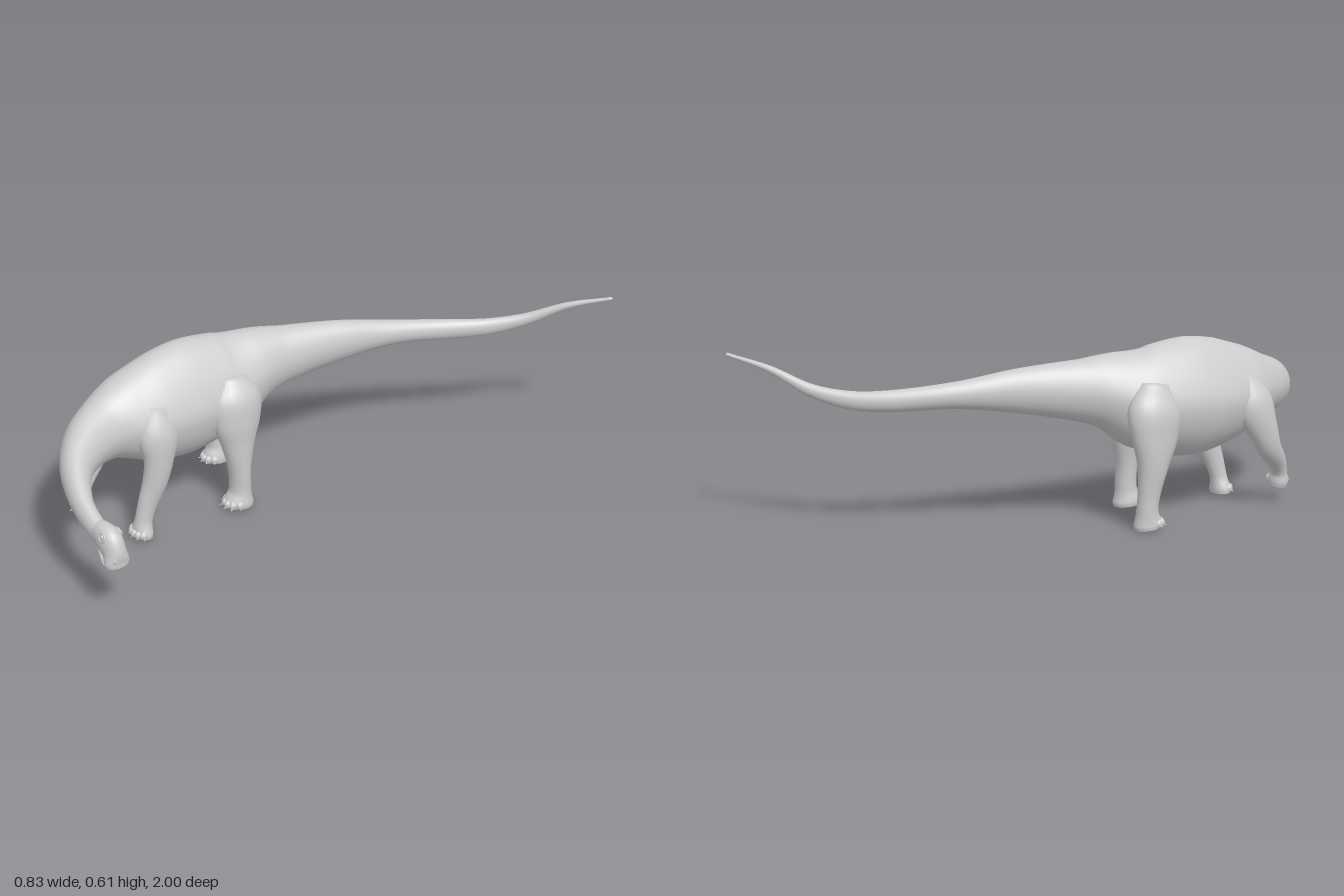
import * as THREE from 'three';

const material = new THREE.MeshStandardMaterial({ color: 0xcccccc });

// Smooth skin through stations [x, y, z, ra, rb]; ra runs along ref, rb across it.
// narrow slims the side that faces ref, giving a ridged back.
function loft(name, stations, ref, rings, sides, narrow = () => 0) {
  const path = new THREE.CatmullRomCurve3(stations.map(s => new THREE.Vector3(s[0], s[1], s[2])));
  const n = stations.length - 1;
  const radius = (t, k) => {
    const f = t * n, i = Math.min(n - 1, Math.floor(f)), u = f - i;
    const at = j => stations[Math.max(0, Math.min(n, j))][k];
    const a = at(i - 1), b = at(i), c = at(i + 1), d = at(i + 2);
    return Math.max(0.002, b + 0.5 * u * (c - a + u * (2 * a - 5 * b + 4 * c - d + u * (3 * (b - c) + d - a))));
  };
  const pos = [], index = [];
  for (let i = 0; i <= rings; i++) {
    const t = i / rings, c = path.getPoint(t), T = path.getTangent(t);
    const A = ref.clone().addScaledVector(T, -T.dot(ref)).normalize();
    const B = T.clone().cross(A);
    const ra = radius(t, 3), rb = radius(t, 4);
    for (let j = 0; j < sides; j++) {
      const a = j / sides * Math.PI * 2, up = Math.cos(a);
      const slim = 1 - narrow(t) * Math.max(0, up);
      const p = c.clone().addScaledVector(A, up * ra).addScaledVector(B, Math.sin(a) * rb * slim);
      pos.push(p.x, p.y, p.z);
      if (i < rings) {
        const k = i * sides + j, l = i * sides + (j + 1) % sides;
        index.push(k, l, k + sides, l, l + sides, k + sides);
      }
    }
  }
  // End caps
  const last = rings * sides, mid = pos.length / 3;
  for (const t of [0, 1]) pos.push(...path.getPoint(t).toArray());
  for (let j = 0; j < sides; j++) {
    const k = (j + 1) % sides;
    index.push(mid, k, j, mid + 1, last + j, last + k);
  }
  const geo = new THREE.BufferGeometry();
  geo.setAttribute('position', new THREE.Float32BufferAttribute(pos, 3));
  geo.setIndex(index);
  geo.computeVertexNormals();
  const mesh = new THREE.Mesh(geo, material);
  mesh.name = name;
  return mesh;
}

function ball(name, p, s) {
  const mesh = new THREE.Mesh(new THREE.SphereGeometry(1, 16, 12), material);
  mesh.name = name;
  mesh.position.set(...p);
  mesh.scale.set(...s);
  return mesh;
}

// Leg column with toes and claws fanned around the foot
function leg(name, stations, yaw, tilt = 0) {
  const group = new THREE.Group();
  group.name = name;
  group.add(loft('limb', stations, new THREE.Vector3(1, 0, 0), 40, 24));
  const [x, y, z, rx, rz] = stations[stations.length - 1];
  const foot = new THREE.Group();
  foot.name = 'toes';
  foot.position.set(x, y, z);
  foot.rotation.set(tilt, yaw, 0, 'YXZ');
  for (const a of [-1.05, -0.5, 0, 0.5, 1.05]) {
    const px = Math.sin(a) * rx * 0.85, pz = Math.cos(a) * rz * 0.85;
    foot.add(ball('toe', [px, 0.016, pz], [0.013, 0.016, 0.016]));
    const claw = new THREE.Mesh(new THREE.ConeGeometry(0.008, 0.026, 8), material);
    claw.name = 'claw';
    claw.position.set(px * 1.25, 0.010, pz * 1.25);
    claw.rotation.set(Math.PI / 2 + 0.2, a, 0, 'YXZ');
    foot.add(claw);
  }
  group.add(foot);
  return group;
}

export function createModel() {
  const model = new THREE.Group();
  model.name = 'sauropod';
  const up = new THREE.Vector3(0, 1, 0);

  // Tail, trunk and neck in one sweep
  const ridge = t => 0.3 * Math.exp(-(((t - 0.58) / 0.17) ** 2));
  model.add(loft('body', [
    [0.41, 0.583, -1, 0.006, 0.006],
    [0.295, 0.542, -0.9, 0.012, 0.012],
    [0.19, 0.478, -0.8, 0.022, 0.018],
    [0.11, 0.449, -0.7, 0.031, 0.022],
    [0.045, 0.446, -0.6, 0.036, 0.027],
    [-0.05, 0.46, -0.4, 0.045, 0.037],
    [-0.117, 0.465, -0.2, 0.075, 0.053],
    [-0.175, 0.455, 0, 0.105, 0.08],
    [-0.2, 0.445, 0.1, 0.132, 0.11],
    [-0.222, 0.415, 0.22, 0.177, 0.145],
    [-0.232, 0.402, 0.38, 0.205, 0.16],
    [-0.232, 0.402, 0.51, 0.19, 0.155],
    [-0.23, 0.405, 0.62, 0.152, 0.135],
    [-0.215, 0.4, 0.71, 0.115, 0.1],
    [-0.175, 0.388, 0.8, 0.092, 0.078],
    [-0.1, 0.363, 0.885, 0.069, 0.054],
    [0.01, 0.322, 0.94, 0.048, 0.037],
    [0.09, 0.29, 0.953, 0.042, 0.031],
    [0.15, 0.268, 0.952, 0.04, 0.03],
  ], up, 160, 40, ridge));

  // Head: skull, jaw, eyes and nostrils
  const head = new THREE.Group();
  head.name = 'head';
  head.add(loft('skull', [
    [0.12, 0.278, 0.952, 0.038, 0.03],
    [0.15, 0.276, 0.951, 0.046, 0.035],
    [0.18, 0.266, 0.95, 0.053, 0.039],
    [0.205, 0.237, 0.95, 0.042, 0.037],
    [0.216, 0.21, 0.95, 0.028, 0.043],
    [0.221, 0.193, 0.95, 0.02, 0.036],
    [0.222, 0.182, 0.95, 0.006, 0.015],
  ], up, 40, 28));
  head.add(loft('jaw', [
    [0.145, 0.252, 0.95, 0.022, 0.028],
    [0.17, 0.228, 0.95, 0.018, 0.035],
    [0.193, 0.2, 0.95, 0.014, 0.037],
    [0.207, 0.184, 0.95, 0.01, 0.028],
    [0.211, 0.179, 0.95, 0.003, 0.01],
  ], up, 24, 24));
  for (const side of [-1, 1]) {
    const socket = new THREE.Mesh(new THREE.TorusGeometry(0.013, 0.004, 8, 24), material);
    socket.name = 'eyelid';
    socket.position.set(0.188, 0.294, 0.95 + side * 0.031);
    socket.rotation.x = -side * 0.35;
    head.add(socket);
    head.add(ball('eye', [0.188, 0.294, 0.95 + side * 0.029], [0.01, 0.01, 0.008]));
    head.add(ball('nostril', [0.235, 0.225, 0.95 + side * 0.018], [0.007, 0.012, 0.008]));
  }
  model.add(head);

  // Legs in mid-stride, the right foreleg lifted
  model.add(leg('leftHindLeg', [
    [-0.135, 0.47, 0.25, 0.045, 0.06],
    [-0.108, 0.4, 0.255, 0.066, 0.1],
    [-0.09, 0.32, 0.26, 0.058, 0.09],
    [-0.082, 0.25, 0.262, 0.048, 0.065],
    [-0.075, 0.15, 0.263, 0.041, 0.04],
    [-0.075, 0.06, 0.262, 0.04, 0.038],
    [-0.076, 0.02, 0.268, 0.047, 0.053],
    [-0.076, 0.003, 0.27, 0.046, 0.053],
  ], 0.1));
  model.add(leg('rightHindLeg', [
    [-0.315, 0.47, 0.21, 0.045, 0.06],
    [-0.345, 0.39, 0.19, 0.064, 0.1],
    [-0.362, 0.3, 0.18, 0.054, 0.085],
    [-0.37, 0.21, 0.168, 0.044, 0.055],
    [-0.369, 0.12, 0.155, 0.035, 0.04],
    [-0.367, 0.06, 0.15, 0.036, 0.038],
    [-0.364, 0.02, 0.155, 0.042, 0.05],
    [-0.364, 0.003, 0.157, 0.041, 0.05],
  ], -0.1));
  model.add(leg('leftForeleg', [
    [-0.14, 0.46, 0.55, 0.04, 0.05],
    [-0.115, 0.37, 0.56, 0.052, 0.075],
    [-0.102, 0.28, 0.57, 0.04, 0.054],
    [-0.108, 0.2, 0.585, 0.037, 0.045],
    [-0.116, 0.12, 0.613, 0.029, 0.036],
    [-0.12, 0.06, 0.63, 0.029, 0.031],
    [-0.122, 0.02, 0.636, 0.043, 0.034],
    [-0.122, 0.003, 0.637, 0.043, 0.033],
  ], 0));
  model.add(leg('rightForeleg', [
    [-0.315, 0.46, 0.58, 0.04, 0.05],
    [-0.345, 0.37, 0.6, 0.052, 0.075],
    [-0.36, 0.28, 0.635, 0.042, 0.056],
    [-0.352, 0.21, 0.67, 0.04, 0.044],
    [-0.327, 0.145, 0.728, 0.031, 0.033],
    [-0.314, 0.105, 0.748, 0.028, 0.028],
    [-0.305, 0.075, 0.752, 0.038, 0.033],
    [-0.3, 0.055, 0.752, 0.037, 0.032],
  ], 0.9, -0.2));
  return model;
}
